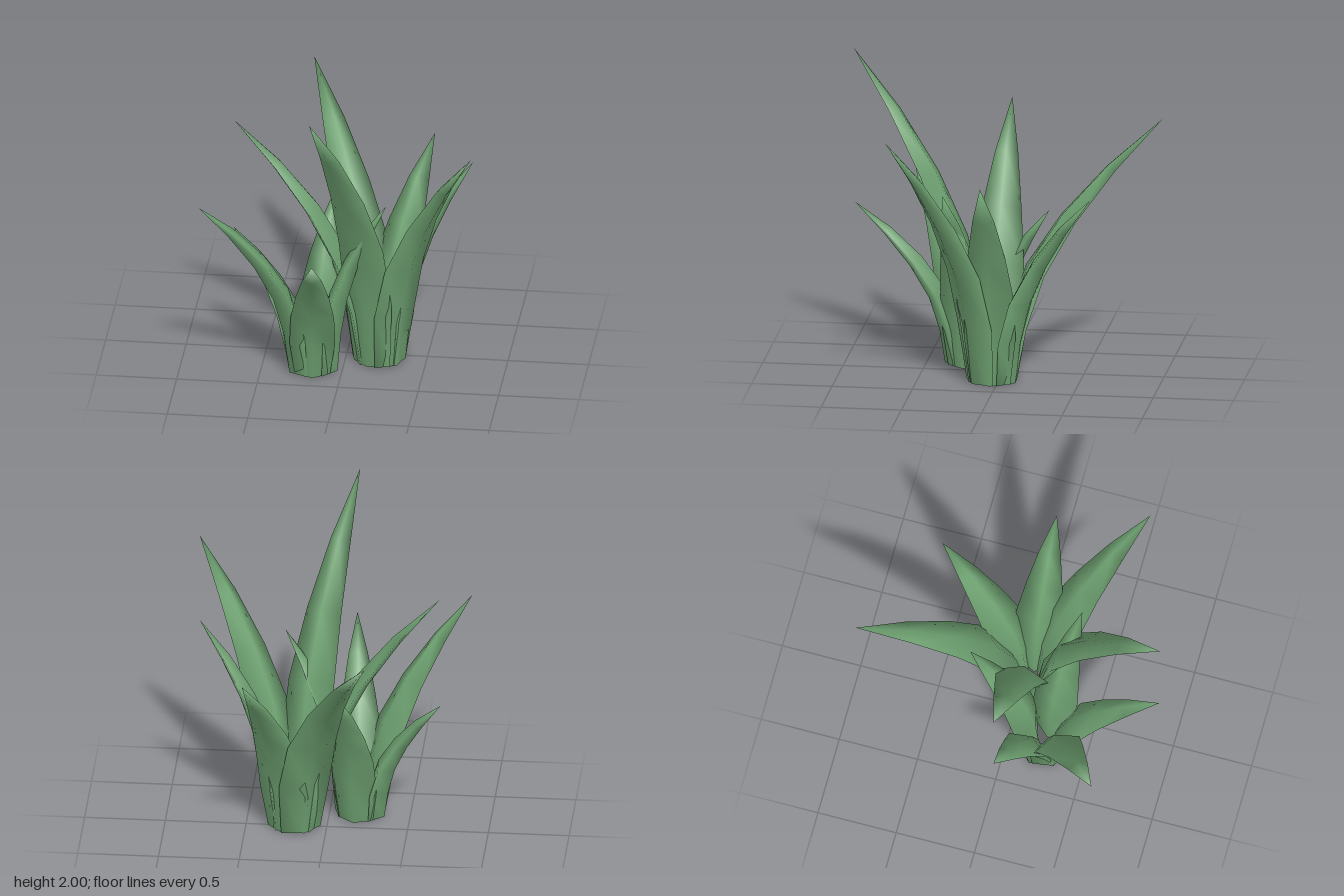
import * as THREE from 'three';

const leafGreen = new THREE.MeshStandardMaterial({ color: 0x70a473, side: THREE.DoubleSide });
leafGreen.name = 'leafGreen';

// Leaf stations below the tip: height fraction, outward fraction, half width, half thickness
const STATIONS = [
  [0, 0, 0.128, 0.062],
  [0.22, 0.055, 0.166, 0.064],
  [0.43, 0.175, 0.158, 0.06],
  [0.63, 0.39, 0.12, 0.048],
  [0.82, 0.67, 0.07, 0.03],
];
const SIDES = 4; // diamond cross-section: outer ridge, edge, inner ridge, edge
const BASE_RADIUS = 0.102;

// A tapering diamond tube, open at the foot, that arcs out from the clump to a pointed tip.
// The wide feet cross their neighbours, so narrow edges show between the leaves.
function leafGeometry([cx, cz], [tx, ty, tz], widthScale) {
  const reach = Math.hypot(tx - cx, tz - cz);
  const dx = (tx - cx) / reach, dz = (tz - cz) / reach;
  const path = STATIONS.map(([h, o]) =>
    new THREE.Vector2(BASE_RADIUS + (reach - BASE_RADIUS) * o, ty * h));
  path.push(new THREE.Vector2(reach, ty));
  const positions = [], index = [];

  STATIONS.forEach(([, , w, thick], i) => {
    const t = path[i + 1].clone().sub(path[Math.max(i - 1, 0)]).normalize();
    if (i === 0) t.set(0, 1); // flat foot on the ground
    for (let j = 0; j < SIDES; j++) {
      const a = (j / SIDES) * Math.PI * 2;
      const n = Math.cos(a) * thick, u = Math.sin(a) * w * widthScale;
      const r = path[i].x + t.y * n;
      positions.push(cx + dx * r + dz * u, path[i].y - t.x * n, cz + dz * r - dx * u);
    }
  });

  // One shared tip point, so the shading rounds off towards it
  const tip = positions.length / 3;
  positions.push(tx, ty, tz);

  for (let i = 0; i < STATIONS.length; i++) {
    for (let j = 0; j < SIDES; j++) {
      const a = i * SIDES + j, b = i * SIDES + (j + 1) % SIDES;
      if (i === STATIONS.length - 1) index.push(a, b, tip);
      else index.push(a, b, a + SIDES, b, b + SIDES, a + SIDES);
    }
  }

  const geometry = new THREE.BufferGeometry();
  geometry.setAttribute('position', new THREE.Float32BufferAttribute(positions, 3));
  geometry.setIndex(index);
  geometry.computeVertexNormals();
  return geometry;
}

// Each clump: centre on the ground, then leaf tips with a width scale
const CLUMPS = [
  {
    name: 'tallClump', centre: [0.205, 0.04],
    leaves: [
      [[-0.125, 2.0, 0.95], 0.97],
      [[0.84, 1.66, 0.625], 1],
      [[0.79, 1.37, 0.04], 0.97],
      [[-0.695, 1.57, 0.04], 1.03],
      [[-0.315, 1.56, -0.945], 1.03],
      [[0.475, 1.24, -0.605], 1],
    ],
  },
  {
    name: 'shortClump', centre: [-0.188, 0.225],
    leaves: [
      [[-0.84, 1.28, 0.705], 0.92],
      [[-0.7, 0.84, 0.04], 0.85],
      [[-0.11, 1.02, 0.94], 0.85],
      [[-0.09, 1.02, -0.275], 0.85],
      [[0.285, 1.18, 0.34], 0.9],
    ],
  },
];

export function createModel() {
  const plant = new THREE.Group();
  plant.name = 'plant';
  for (const { name, centre, leaves } of CLUMPS) {
    const clump = new THREE.Group();
    clump.name = name;
    leaves.forEach(([tip, widthScale], i) => {
      const leaf = new THREE.Mesh(leafGeometry(centre, tip, widthScale), leafGreen);
      leaf.name = `leaf${i + 1}`;
      clump.add(leaf);
    });
    plant.add(clump);
  }
  return plant;
}
